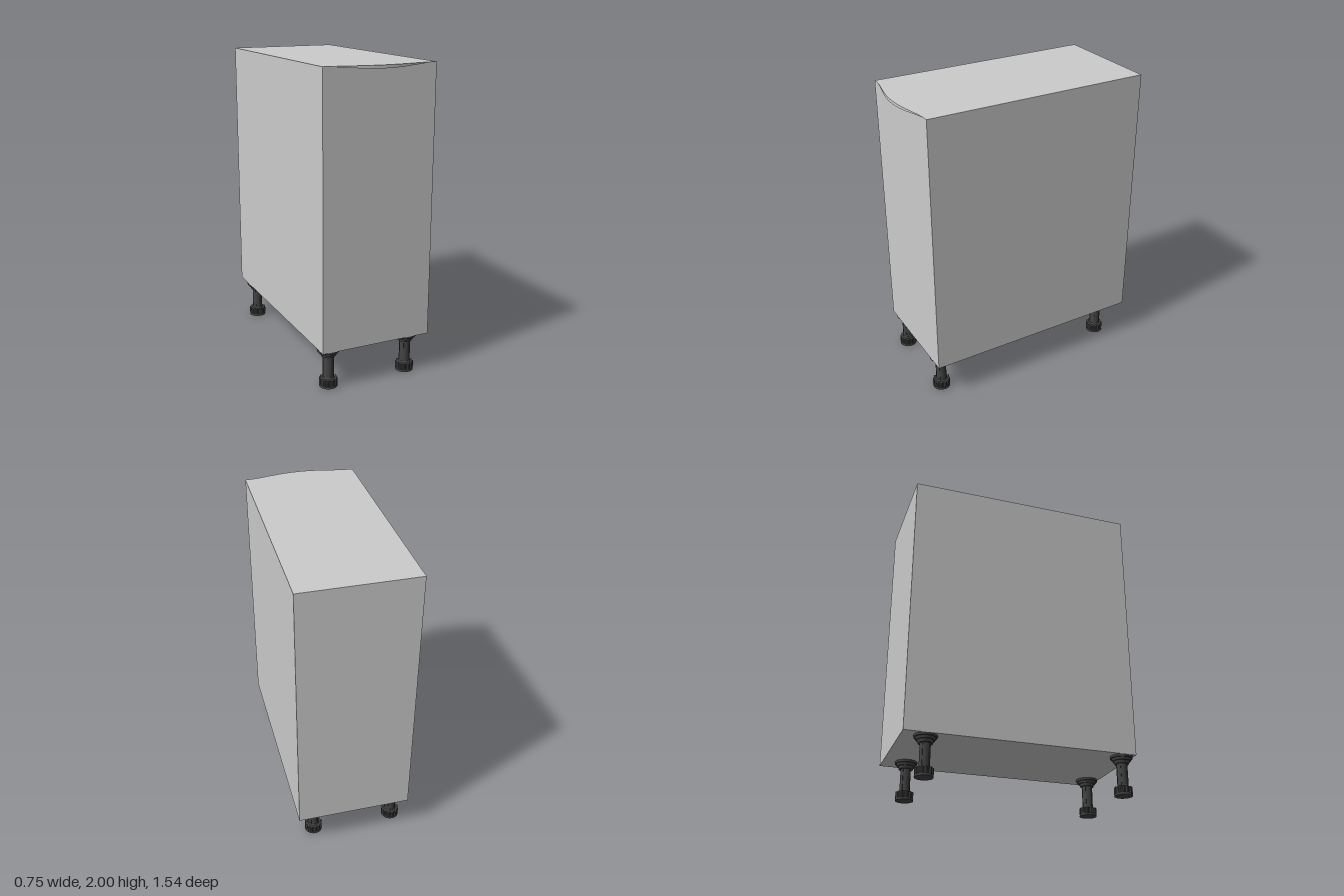
import * as THREE from 'three';

const bodyMat = new THREE.MeshStandardMaterial({ color: 0xcccccc });
const legMat = new THREE.MeshStandardMaterial({ color: 0x444444 });

const HALF_W = 0.373, TOP = 2, BOTTOM = 0.255, FRONT = 0.725, BACK = -0.772;

function addMesh(parent, name, geometry, material) {
  const mesh = new THREE.Mesh(geometry, material);
  mesh.name = name;
  parent.add(mesh);
  return mesh;
}

// Curved pull lip: wedge-shaped cross-sections lofted along x, deepest in the middle
function lipGeometry() {
  const half = [[0, 1], [0.1, 0.87], [0.2, 0.5], [0.25, 0.28], [0.3, 0.09], [0.34, 0.01], [HALF_W, 0]];
  const pts = [...half.slice(1).reverse().map(([x, b]) => [-x, b]), ...half];
  const curve = new THREE.SplineCurve(pts.map(([x, b]) => new THREE.Vector2(x, b)));
  const sections = curve.getPoints(48).map(({ x, y }) => {
    const b = Math.max(y, 0), z = FRONT + 0.047 * b;
    return [[x, TOP, FRONT], [x, TOP, z], [x, TOP - 0.004 - 0.016 * b, z], [x, TOP - 0.004, FRONT]];
  });
  const pos = [];
  for (let i = 0; i < sections.length - 1; i++) {
    const a = sections[i], c = sections[i + 1];
    for (let k = 0; k < 4; k++) {
      const n = (k + 1) % 4;
      pos.push(...a[k], ...a[n], ...c[n], ...a[k], ...c[n], ...c[k]);
    }
  }
  const g = new THREE.BufferGeometry();
  g.setAttribute('position', new THREE.Float32BufferAttribute(pos, 3));
  g.computeVertexNormals();
  return g;
}

// Gear-like outline for the knurled adjusting foot
function footGeometry() {
  const shape = new THREE.Shape();
  const ribs = 12;
  for (let i = 0; i < ribs * 4; i++) {
    const a = (i / (ribs * 4)) * Math.PI * 2;
    const r = i % 4 < 2 ? 0.058 : 0.051;
    shape[i ? 'lineTo' : 'moveTo'](r * Math.cos(a), r * Math.sin(a));
  }
  shape.closePath();
  const g = new THREE.ExtrudeGeometry(shape, { depth: 0.042, bevelEnabled: false });
  return g.rotateX(-Math.PI / 2).translate(0, 0.013, 0);
}

function cylinder(rTop, rBottom, y0, y1, sides = 28) {
  return new THREE.CylinderGeometry(rTop, rBottom, y1 - y0, sides).translate(0, (y0 + y1) / 2, 0);
}

function createLeg() {
  const leg = new THREE.Group();
  leg.name = 'leg';
  addMesh(leg, 'mountingFlange', cylinder(0.073, 0.071, 0.241, BOTTOM), legMat);
  addMesh(leg, 'collar', cylinder(0.062, 0.058, 0.225, 0.241), legMat);
  addMesh(leg, 'lowerCollar', cylinder(0.05, 0.045, 0.206, 0.225), legMat);
  addMesh(leg, 'shaft', cylinder(0.033, 0.033, 0.05, 0.21), legMat);
  addMesh(leg, 'footNeck', cylinder(0.035, 0.04, 0.055, 0.066), legMat);
  addMesh(leg, 'adjustingFoot', footGeometry(), legMat);
  addMesh(leg, 'footPad', cylinder(0.056, 0.058, 0, 0.013), legMat);
  // Small ribs running down the shaft
  for (let i = 0; i < 4; i++) {
    const a = (i / 4) * Math.PI * 2 + Math.PI / 4;
    const rib = addMesh(leg, 'shaftRib', new THREE.BoxGeometry(0.008, 0.14, 0.008), legMat);
    rib.position.set(0.032 * Math.cos(a), 0.135, 0.032 * Math.sin(a));
    rib.rotation.y = -a;
  }
  return leg;
}

export function createModel() {
  const model = new THREE.Group();
  model.name = 'baseCabinet';

  // Cabinet body
  const body = addMesh(model, 'cabinetBody',
    new THREE.BoxGeometry(HALF_W * 2, TOP - BOTTOM, FRONT - BACK), bodyMat);
  body.position.set(0, (TOP + BOTTOM) / 2, (FRONT + BACK) / 2);

  addMesh(model, 'pullLip', lipGeometry(), bodyMat);

  // Four adjustable legs, slightly offset towards the right side
  for (const x of [-0.304, 0.246]) {
    for (const z of [0.653, -0.622]) {
      const leg = createLeg();
      leg.position.set(x, 0, z);
      model.add(leg);
    }
  }
  return model;
}
